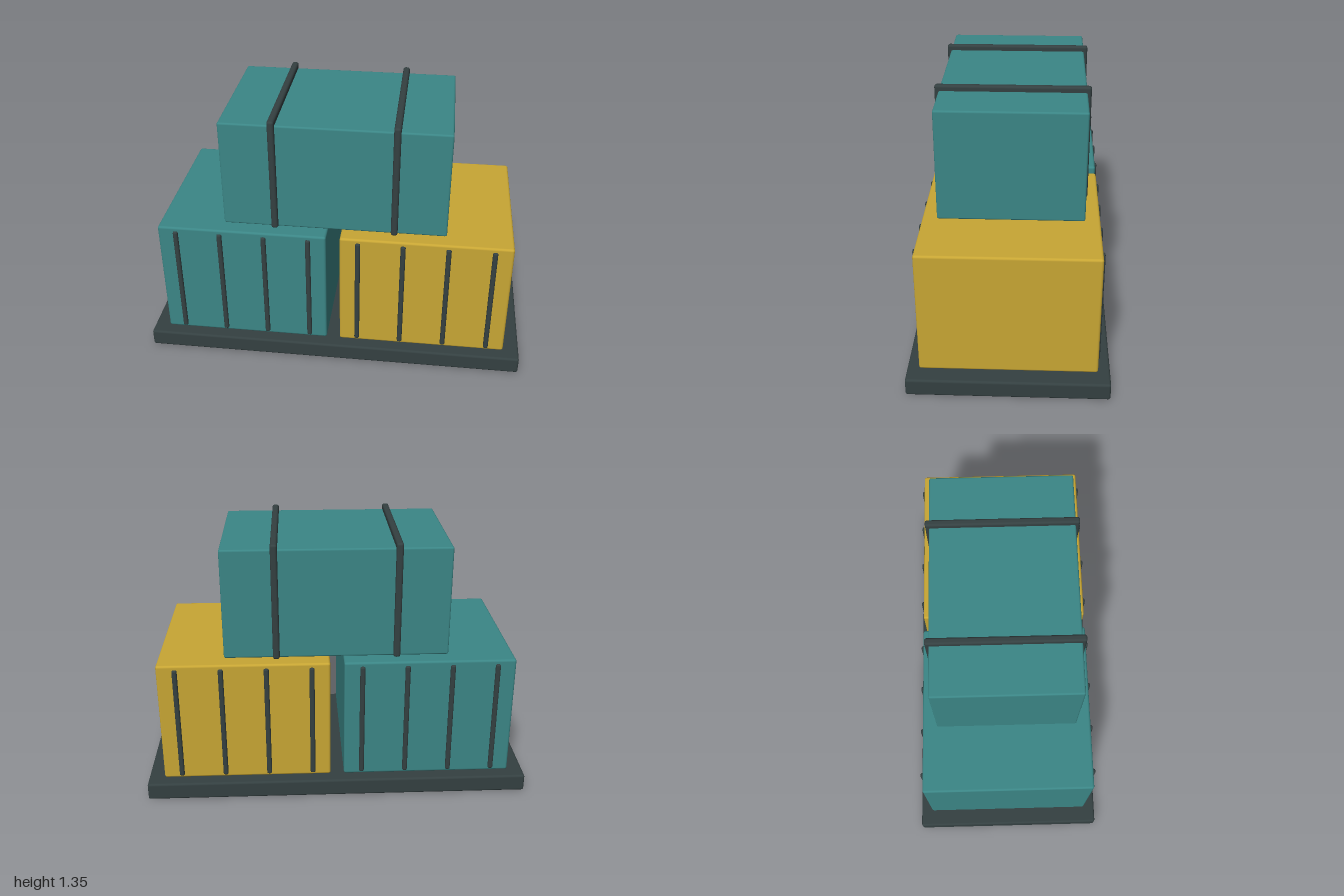
import * as THREE from 'three';
import { RoundedBoxGeometry } from 'three/addons/geometries/RoundedBoxGeometry.js';

const material = (name, color) => {
  const m = new THREE.MeshStandardMaterial({ color });
  m.name = name;
  return m;
};

export function createModel() {
  const teal = material('teal', 0x3b8686);
  const yellow = material('yellow', 0xc8a634);
  const charcoal = material('charcoal', 0x344041);
  const model = new THREE.Group();
  model.name = 'crateStack';

  // Softly bevelled box given by its size and centre
  const block = (parent, name, mat, size, pos, radius = 0.01) => {
    const mesh = new THREE.Mesh(new RoundedBoxGeometry(...size, 2, radius), mat);
    mesh.name = name;
    mesh.position.set(...pos);
    parent.add(mesh);
  };

  // Pallet
  block(model, 'pallet', charcoal, [2, 0.092, 1], [0, 0.046, 0], 0.012);

  // Two lower crates with upright ribs on front and back
  for (const [name, mat, x] of [['rightCrate', teal, -0.475], ['leftCrate', yellow, 0.475]]) {
    const crate = new THREE.Group();
    crate.name = name;
    crate.position.x = x;
    block(crate, 'crateBody', mat, [0.88, 0.652, 0.88], [0, 0.421, 0], 0.012);
    for (const side of [-1, 1]) {
      for (let i = 0; i < 4; i++) {
        block(crate, 'rib', charcoal, [0.026, 0.615, 0.03],
          [-0.346 + i * 0.2307, 0.418, side * 0.437], 0.009);
      }
    }
    model.add(crate);
  }

  // Upper crate with two straps around it
  const upper = new THREE.Group();
  upper.name = 'upperCrate';
  block(upper, 'crateBody', teal, [1.152, 0.575, 0.73], [0, 1.038, 0]);
  for (const x of [-0.308, 0.308]) {
    block(upper, 'strap', charcoal, [0.035, 0.607, 0.768], [x, 1.0505, 0], 0.012);
  }
  model.add(upper);
  return model;
}
